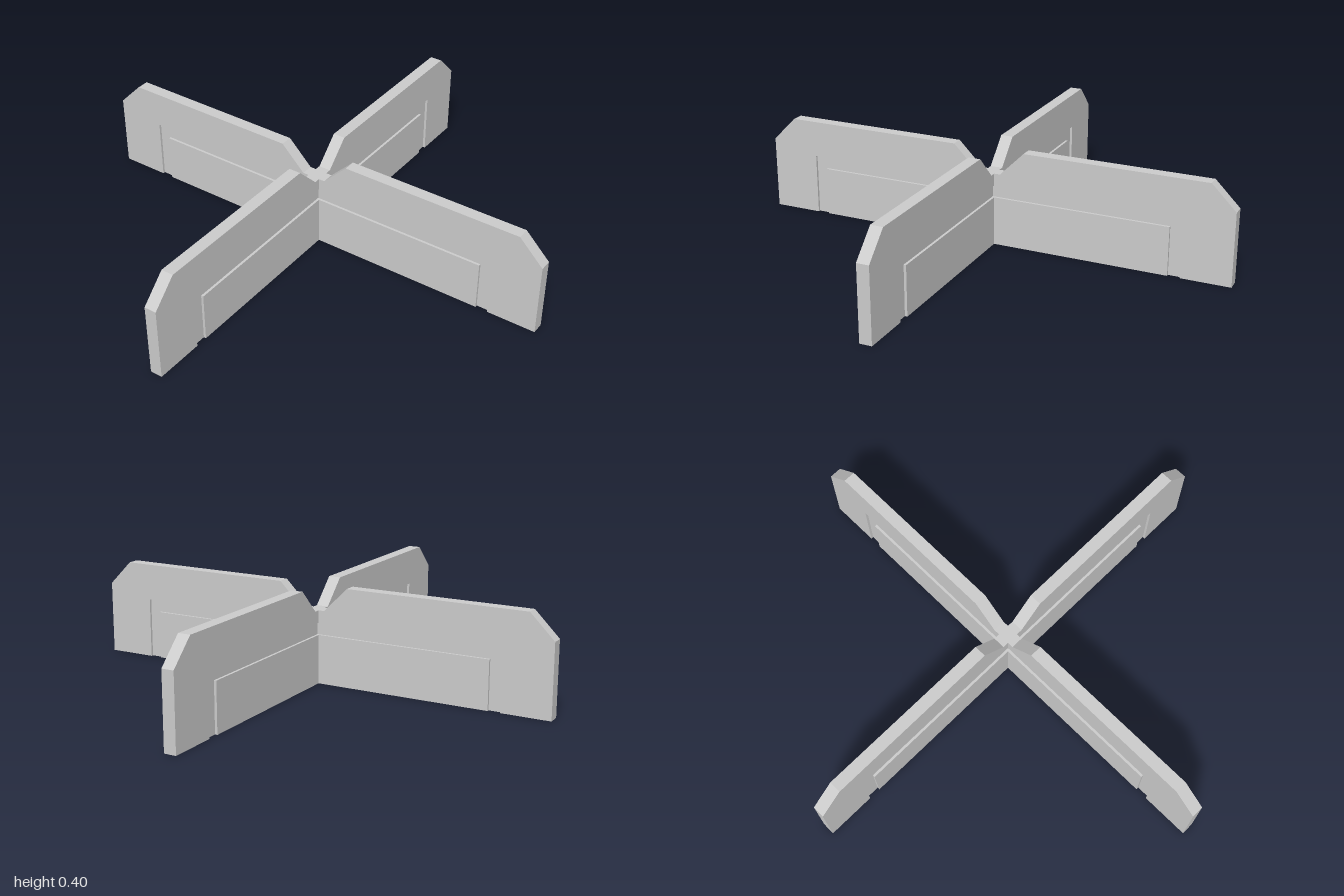
import * as THREE from 'three';

const THICK = 0.05;   // board thickness
const GROOVE = 0.01;  // groove depth on each face

// Half outline (x >= 0) mirrored into a symmetric closed shape
function mirroredShape(half) {
  const left = half.map(([x, y]) => [-x, y]).reverse();
  return new THREE.Shape([...half, ...left].map(([x, y]) => new THREE.Vector2(x, y)));
}

function slab(name, half, thickness, material) {
  const geometry = new THREE.ExtrudeGeometry(mirroredShape(half), { depth: thickness, bevelEnabled: false });
  geometry.translate(0, 0, -thickness / 2);
  const mesh = new THREE.Mesh(geometry, material);
  mesh.name = name;
  return mesh;
}

function createBoard(name, material) {
  const board = new THREE.Group();
  board.name = name;
  board.add(
    // outer frame: chamfered ends, notched middle, open at the bottom
    slab('outerFrame', [
      [0.8, 0.25], [0.8, 0], [1, 0], [1, 0.3], [0.9, 0.4], [0.15, 0.4], [0.05, 0.3],
    ], THICK, material),
    // thinner strip forming the groove floor on both faces
    slab('groove', [
      [0.75, 0.2], [0.75, 0], [0.8, 0], [0.8, 0.25],
    ], THICK - 2 * GROOVE, material),
    // inner panel, flush with the frame
    slab('innerPanel', [[0.75, 0], [0.75, 0.2]], THICK, material),
  );
  return board;
}

export function createModel() {
  const model = new THREE.Group();
  model.name = 'crossBase';
  const material = new THREE.MeshStandardMaterial({ color: 0xcccccc, flatShading: true });

  // two identical boards crossing at right angles
  const sideBoard = createBoard('sideToSideBoard', material);
  const frontBoard = createBoard('frontToBackBoard', material);
  frontBoard.rotation.y = Math.PI / 2;
  model.add(sideBoard, frontBoard);
  return model;
}
